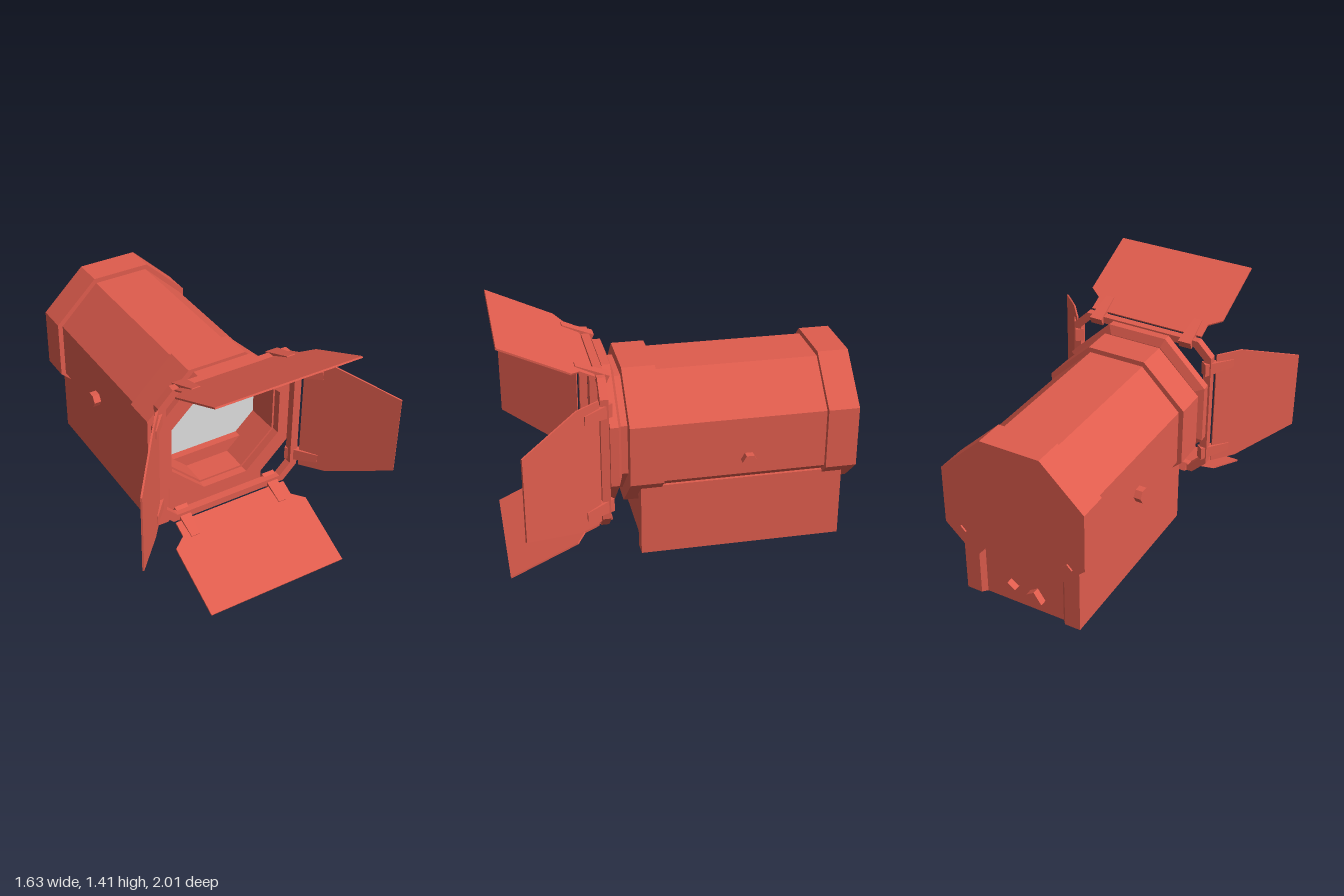
import * as THREE from 'three';

const CY = 0.71; // height of the optical axis

export function createModel() {
  const model = new THREE.Group();
  const red = new THREE.MeshStandardMaterial({ color: 0xdf5c4d });
  red.name = 'red paint';
  const grey = new THREE.MeshStandardMaterial({ color: 0xdedede });
  grey.name = 'lens grey';

  const add = (name, geo, parent = model, mat = red) => {
    const mesh = new THREE.Mesh(geo, mat);
    mesh.name = name;
    parent.add(mesh);
    return mesh;
  };
  // Octagon: half width w, half height h, half flat edges fx (top) and fy (side)
  const octagon = (w, h, fx, fy, cy = CY) => [
    [w, -fy], [w, fy], [fx, h], [-fx, h], [-w, fy], [-w, -fy], [-fx, -h], [fx, -h],
  ].map(([x, y]) => new THREE.Vector2(x, y + cy));
  const mirrored = (half) => [
    ...half.map(([x, y]) => new THREE.Vector2(x, y)),
    ...half.slice().reverse().map(([x, y]) => new THREE.Vector2(-x, y)),
  ];
  // Extrude an outline between two depths, with an optional hole
  const slab = (points, z0, z1, hole) => {
    const shape = new THREE.Shape(points);
    if (hole) shape.holes.push(new THREE.Path(hole));
    const geo = new THREE.ExtrudeGeometry(shape, { depth: z1 - z0, bevelEnabled: false });
    return geo.translate(0, 0, z0);
  };
  // Box whose +y end is narrowed
  const taperedBox = (w, h, d, sx, sz) => {
    const geo = new THREE.BoxGeometry(w, h, d).toNonIndexed();
    const p = geo.attributes.position;
    for (let i = 0; i < p.count; i++) {
      if (p.getY(i) > 0) p.setXYZ(i, p.getX(i) * sx, p.getY(i), p.getZ(i) * sz);
    }
    geo.computeVertexNormals();
    return geo;
  };

  // Lamp housing
  const bore = octagon(0.342, 0.332, 0.138, 0.138, 0.72);
  const collar = octagon(0.44, 0.42, 0.18, 0.17);
  add('housing', slab(octagon(0.41, 0.39, 0.17, 0.155).map((p) =>
    (Math.abs(p.x) > 0.4 && p.y < CY ? p.setY(0.52) : p)), -0.82, 0.12));
  add('frontCollar', slab(collar.map((p) =>
    (Math.abs(p.x) > 0.4 && p.y < CY ? p.setY(0.525) : p)), 0.12, 0.31, bore));

  // Rear collar with a notched lower edge and a recessed panel
  const rearOutline = mirrored([
    [0.18, 1.13], [0.44, 0.88], [0.44, 0.52], [0.28, 0.37], [0.23, 0.37], [0.16, 0.46],
  ]);
  const panel = mirrored([[0.16, 1.08], [0.38, 0.855], [0.38, 0.645]]);
  add('rearCollar', slab(rearOutline, -0.975, -0.82));
  add('rearCover', slab(rearOutline, -1, -0.975, panel));

  // Lens, neck and front ring
  add('lens', slab(octagon(0.35, 0.34, 0.142, 0.142, 0.72), 0.165, 0.17), model, grey);
  add('neck', slab(octagon(0.365, 0.355, 0.15, 0.148, 0.715), 0.31, 0.37, bore));
  add('ring', slab(octagon(0.45, 0.44, 0.185, 0.18, 0.72), 0.372, 0.42,
    octagon(0.352, 0.342, 0.142, 0.142, 0.72)));
  const ringBack = slab(octagon(0.45, 0.44, 0.185, 0.18, 0), 0.352, 0.372,
    octagon(0.4, 0.395, 0.16, 0.16, 0));
  const rp = ringBack.attributes.position;
  for (let i = 0; i < rp.count; i++) {
    if (rp.getZ(i) < 0.36) rp.setXY(i, rp.getX(i) * 0.88, rp.getY(i) * 0.88);
  }
  ringBack.computeVertexNormals();
  add('ringBack', ringBack.translate(0, 0.72, 0));

  // Frame that carries the doors
  add('doorFrame', slab(octagon(0.46, 0.457, 0.37, 0.367), 0.425, 0.472,
    octagon(0.413, 0.415, 0.345, 0.347)));

  // Lower box, recessed between its corner posts at front and rear
  const plan = mirrored([
    [0.25, -0.215], [0.275, -0.24], [0.37, -0.24], [0.37, 0.94], [0.275, 0.94], [0.25, 0.912],
  ]);
  add('base', slab(plan, 0.035, 0.47).rotateX(-Math.PI / 2));

  for (const s of [1, -1]) {
    for (const z of [0.105, -0.77]) {
      add('foot', taperedBox(0.1, 0.04, 0.11, 0.75, 0.7).rotateX(Math.PI))
        .position.set(s * 0.25, 0.02, z);
    }
    // Side knobs
    const knob = add('sideKnob', new THREE.CylinderGeometry(0.045, 0.045, 0.06, 6).toNonIndexed());
    knob.geometry.computeVertexNormals();
    knob.rotation.z = Math.PI / 2;
    knob.position.set(s * 0.423, 0.61, -0.37);
    // Rear bolts
    const bolt = add('rearBolt', new THREE.BoxGeometry(0.045, 0.045, 0.03));
    bolt.position.set(s * 0.335, 0.5, -1 + 0.015);
    bolt.position.z = -0.995;
    bolt.rotation.z = s * Math.PI / 4;
    // Rear sockets
    const socket = add('rearSocket', new THREE.BoxGeometry(0.06, 0.085, 0.07));
    socket.position.set(s * 0.085, 0.14, -0.92);
    socket.rotation.z = s * 0.6;
  }

  // Hinged doors: outline in (x, distance from hinge)
  const wide = mirrored([[0.365, 0], [0.365, 0.09], [0.438, 0.145], [0.438, 0.57]]);
  const narrow = mirrored([[0.37, 0], [0.37, 0.165], [0.245, 0.56]]);
  const door = (name, outline, roll, reach, tilt, tabX) => {
    const arm = new THREE.Group();
    arm.name = name;
    arm.position.set(0, CY, 0);
    arm.rotation.z = roll;
    const hinge = new THREE.Group();
    hinge.name = name + 'Hinge';
    hinge.position.set(0, reach, 0.482);
    hinge.rotation.x = tilt;
    add(name + 'Panel', slab(outline, -0.005, 0.005), hinge);
    for (const s of [1, -1]) {
      add(name + 'Tab', taperedBox(0.08, 0.195, 0.05, 0.65, 0.4), hinge)
        .position.set(s * tabX, 0.015, 0);
    }
    arm.add(hinge);
    model.add(arm);
  };
  door('topDoor', wide, 0, 0.46, 1.138, 0.295);
  door('bottomDoor', wide, Math.PI, 0.46, 1.138, 0.295);
  door('leftDoor', narrow, -Math.PI / 2, 0.468, 0.915, 0.293);
  door('rightDoor', narrow, Math.PI / 2, 0.468, 0.915, 0.293);

  return model;
}
